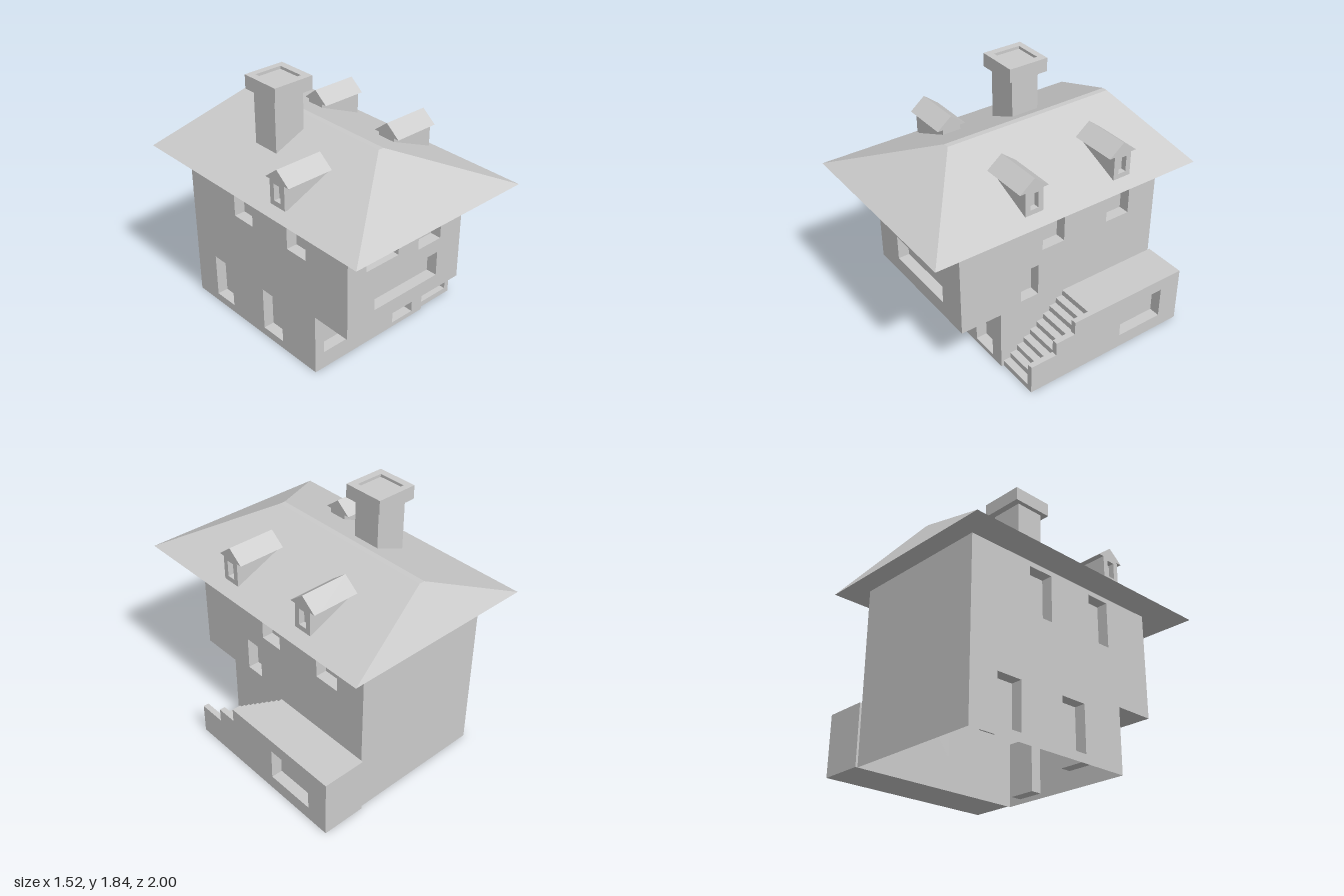
import * as THREE from 'three';
import { ConvexGeometry } from 'three/addons/geometries/ConvexGeometry.js';

const mat = new THREE.MeshStandardMaterial({ color: 0xcccccc, flatShading: true, side: THREE.DoubleSide });

// Outline from [u, v] points with rectangular holes [u0, u1, v0, v1]
function outline(points, holes = []) {
  const shape = new THREE.Shape(points.map(([u, v]) => new THREE.Vector2(u, v)));
  for (const [u0, u1, v0, v1] of holes) {
    shape.holes.push(new THREE.Path([[u0, v0], [u0, v1], [u1, v1], [u1, v0]].map(([u, v]) => new THREE.Vector2(u, v))));
  }
  return shape;
}

function mesh(name, geometry, parent) {
  const m = new THREE.Mesh(geometry, mat);
  m.name = name;
  parent.add(m);
  return m;
}

// Box given by its limits
function box(name, x0, x1, y0, y1, z0, z1, parent) {
  const m = mesh(name, new THREE.BoxGeometry(x1 - x0, y1 - y0, z1 - z0), parent);
  m.position.set((x0 + x1) / 2, (y0 + y1) / 2, (z0 + z1) / 2);
  return m;
}

// Outline extruded towards local +z
function prism(name, points, holes, z0, z1, parent) {
  const geometry = new THREE.ExtrudeGeometry(outline(points, holes), { depth: z1 - z0, bevelEnabled: false });
  const m = mesh(name, geometry, parent);
  m.position.z = z0;
  return m;
}

// Thin wall facing local +z, with an open-fronted recess behind each opening
function wall(name, points, openings, depth, angle, parent) {
  const group = new THREE.Group();
  group.name = name;
  group.rotation.y = angle;
  mesh(name + 'Surface', new THREE.ShapeGeometry(outline(points, openings)), group).position.z = depth;
  const recess = 0.08;
  for (const [u0, u1, v0, v1] of openings) {
    const m = box('windowRecess', u0, u1, v0, v1, depth - recess, depth, group);
    const index = Array.from(m.geometry.index.array);
    index.splice(24, 6); // leave the outer face open
    m.geometry.setIndex(index);
    m.geometry.clearGroups();
  }
  parent.add(group);
}

const rect = (u0, u1, v0, v1) => [[u0, v0], [u1, v0], [u1, v1], [u0, v1]];

export function createModel() {
  const model = new THREE.Group();
  model.name = 'house';
  const right = Math.PI / 2;
  const L = -0.56, R = 0.45, back = -0.86, low = 0.42, high = 0.72, floor = 0.455, eave = 1.21;

  // House walls: the upper storey overhangs at the front
  wall('upperFrontWall', rect(L, R, floor, eave),
    [[-0.405, -0.13, 0.89, 1.12], [0.05, 0.255, 0.845, 1.14], [-0.33, 0.235, 0.565, 0.745]], high, 0, model);
  wall('lowerFrontWall', rect(L, R, 0, floor),
    [[-0.485, -0.115, 0.13, 0.335], [0.155, 0.35, 0.035, 0.41]], low, 0, model);
  wall('backWall', rect(-R, -L, 0, eave), [], -back, Math.PI, model);
  const side = [[back, 0], [low, 0], [low, floor], [high, floor], [high, eave], [back, eave]];
  wall('leftWall', side.map(([z, y]) => [-z, y]),
    [[-0.09, 0.085, 0.84, 1.175], [0.44, 0.63, 0.84, 1.175], [-0.26, -0.12, 0.49, 0.73]], R, right, model);
  wall('rightWall', side,
    [[-0.38, -0.19, 0.85, 1.175], [0.16, 0.34, 0.85, 1.175],
      [-0.65, -0.46, 0.06, 0.385], [-0.115, 0.085, 0.06, 0.385]], -L, -right, model);
  const soffit = mesh('overhangUnderside', new THREE.PlaneGeometry(R - L, high - low), model);
  soffit.rotation.x = right;
  soffit.position.set((L + R) / 2, floor, (low + high) / 2);

  // Hipped roof
  const roofPoints = [];
  for (const x of [-0.76, 0.65]) for (const z of [-1, 1]) roofPoints.push(new THREE.Vector3(x, eave, z));
  for (const x of [-0.075, -0.035]) for (const z of [-0.81, 0.47]) roofPoints.push(new THREE.Vector3(x, 1.505, z));
  mesh('roof', new ConvexGeometry(roofPoints), model);

  // Chimney with a shallow recess in its cap
  box('chimneyStack', -0.4, -0.17, 1.3, 1.74, -0.32, -0.115, model);
  box('chimneyCapBase', -0.43, -0.13, 1.74, 1.815, -0.365, -0.07, model);
  const rim = prism('chimneyCapRim', rect(-0.43, -0.13, 0.07, 0.365), [[-0.38, -0.18, 0.12, 0.32]], 0, 0.02, model);
  rim.rotation.x = -right;
  rim.position.y = 1.815;

  // Gabled dormers: two on the left slope, one on the right
  const gable = [[-0.067, 1.25], [0.067, 1.25], [0.067, 1.42], [0.107, 1.42], [0, 1.505], [-0.107, 1.42], [-0.067, 1.42]];
  for (const [x, z, sign] of [[0.56, 0.245, 1], [0.56, -0.445, 1], [-0.69, 0.245, -1]]) {
    const dormer = new THREE.Group();
    dormer.name = 'dormer';
    prism('dormerFront', gable, [[-0.03, 0.03, 1.285, 1.4]], -0.04, 0, dormer);
    prism('dormerBody', gable, [], -0.34, -0.04, dormer);
    dormer.rotation.y = sign * right;
    dormer.position.set(x, 0, z);
    model.add(dormer);
  }

  // Side annex with stairs; profiles run along -z and extrude along x
  const annex = new THREE.Group();
  annex.name = 'annex';
  annex.rotation.y = right;
  const landing = 0.14, top = 0.42;
  prism('annexOuterWall', rect(landing, 0.875, 0, top), [[0.35, 0.71, 0.1, 0.33]], 0.68, 0.76, annex);
  prism('annexBody', rect(landing, 0.875, 0, top), [], R, 0.68, annex);
  const steps = 10, stairs = [[-0.4, 0]];
  for (let i = 0; i < steps; i++) {
    const y = top * (i + 1) / steps;
    stairs.push([-0.4 + 0.54 * i / steps, y], [-0.4 + 0.54 * (i + 1) / steps, y]);
  }
  stairs.push([landing, 0]);
  prism('stairs', stairs, [], R, 0.72, annex);
  prism('stairParapet', [[-0.4, 0], [landing, 0], [landing, top], [-0.05, top], [-0.05, 0.32],
    [-0.2, 0.32], [-0.2, 0.22], [-0.4, 0.22]], [], 0.72, 0.76, annex);
  model.add(annex);

  return model;
}
